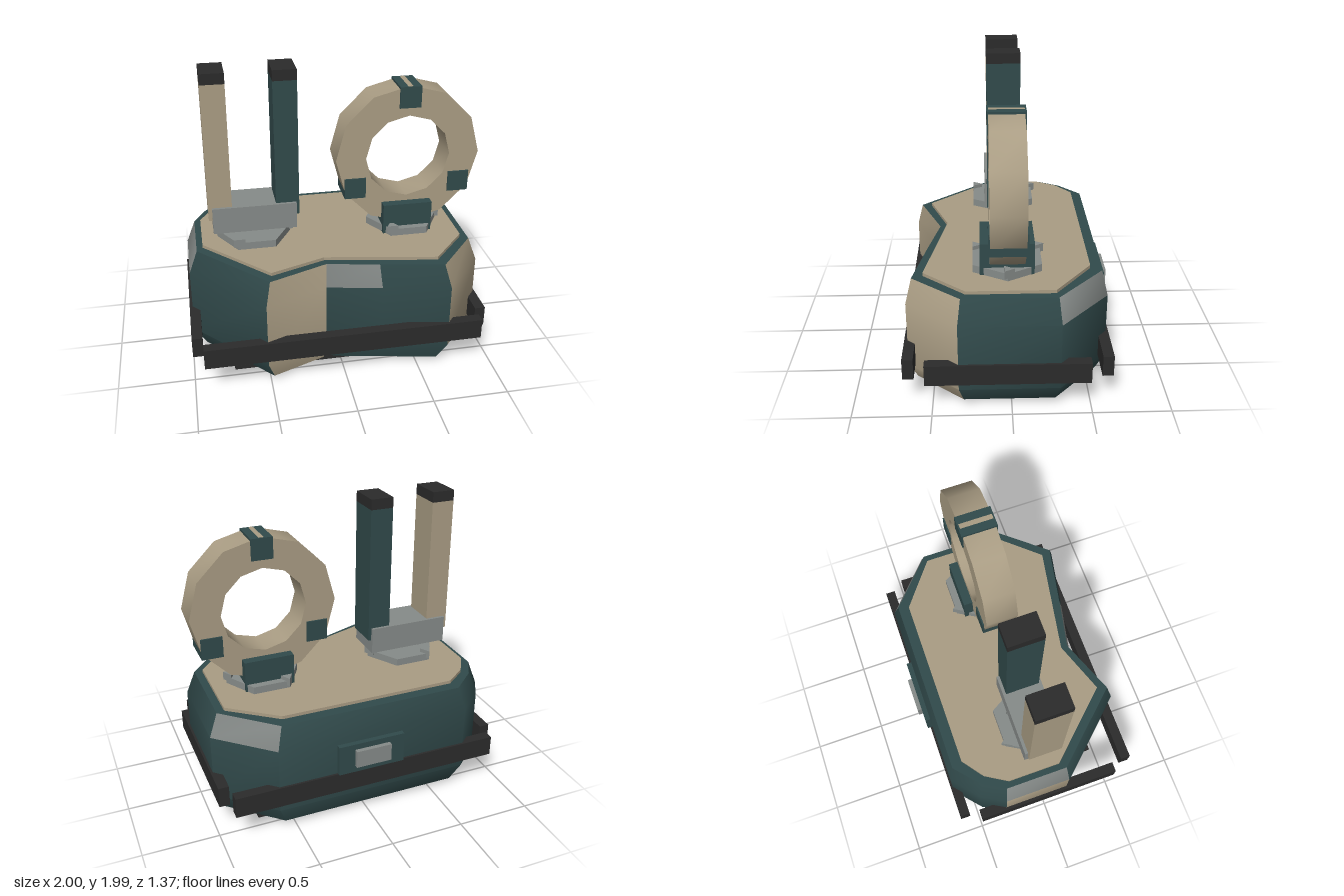
import * as THREE from 'three';
import { toCreasedNormals } from 'three/addons/utils/BufferGeometryUtils.js';

const mat = (name, color) => {
  const m = new THREE.MeshStandardMaterial({ color });
  m.name = name;
  return m;
};

export function createModel() {
  const teal = mat('teal', 0x314a4b);
  const beige = mat('beige', 0xaa9d84);
  const grey = mat('grey', 0x868b89);
  const dark = mat('charcoal', 0x2b2b2b);
  const model = new THREE.Group();
  model.name = 'device';

  const add = (parent, name, geo, material, x = 0, y = 0, z = 0) => {
    const m = new THREE.Mesh(geo, material);
    m.name = name;
    m.position.set(x, y, z);
    parent.add(m);
    return m;
  };
  // Box given by its minimum and maximum on each axis
  const box = (parent, name, material, x0, x1, y0, y1, z0, z1) =>
    add(parent, name, new THREE.BoxGeometry(x1 - x0, y1 - y0, z1 - z0), material,
      (x0 + x1) / 2, (y0 + y1) / 2, (z0 + z1) / 2);
  const polygon = (sides, r) => Array.from({ length: sides }, (_, i) => {
    const a = (i / sides) * Math.PI * 2;
    return new THREE.Vector2(r * Math.cos(a), r * Math.sin(a));
  });
  // Polygonal ring facing z, centred in depth
  const ringGeo = (sides, outer, inner, depth) => {
    const s = new THREE.Shape(polygon(sides, outer));
    s.holes.push(new THREE.Path(polygon(sides, inner).reverse()));
    const g = new THREE.ExtrudeGeometry(s, { depth, bevelEnabled: false });
    return g.translate(0, 0, -depth / 2);
  };

  // Body: plan outline as [x, z, side colour, upper band colour]
  const outline = [
    [-0.98, 0.16, teal, teal], [-0.52, 0.66, beige, beige],
    [-0.11, 0.5, teal, grey], [0.25, 0.575, teal, teal],
    [0.69, 0.66, beige, beige], [0.97, 0.33, teal, teal],
    [0.97, -0.3, teal, grey], [0.62, -0.62, teal, teal],
    [-0.71, -0.62, teal, teal], [-0.89, -0.46, teal, teal],
    [-0.98, -0.3, beige, grey],
  ];
  const levels = [[0.04, 0.92], [0.17, 1], [0.62, 1], [0.78, 0.94]];
  const n = outline.length;
  const materials = [teal, beige, grey];
  const faces = [[], [], []];
  const positions = [];
  for (const [y, s] of levels) for (const [x, z] of outline) positions.push(x * s, y, z * s);
  for (let l = 0; l < levels.length - 1; l++) {
    for (let i = 0; i < n; i++) {
      const a = l * n + i, b = l * n + (i + 1) % n;
      const list = faces[materials.indexOf(outline[i][l === 2 ? 3 : 2])];
      list.push(a, b, b + n, a, b + n, a + n);
    }
  }
  const plan = outline.map(([x, z]) => new THREE.Vector2(x, -z));
  for (const [a, b, c] of THREE.ShapeUtils.triangulateShape(plan, [])) {
    const t = (levels.length - 1) * n;
    faces[0].push(a + t, b + t, c + t, c, b, a);
  }
  const bodyGeo = new THREE.BufferGeometry();
  bodyGeo.setAttribute('position', new THREE.Float32BufferAttribute(positions, 3));
  bodyGeo.setIndex(faces.flat());
  let start = 0;
  faces.forEach((f, i) => {
    bodyGeo.addGroup(start, f.length, i);
    start += f.length;
  });
  add(model, 'body', toCreasedNormals(bodyGeo, 0.85), materials);

  // Lid
  const lid = [[-0.88, 0.11], [-0.47, 0.55], [-0.11, 0.42], [0.62, 0.55], [0.86, 0.28],
    [0.86, -0.27], [0.55, -0.51], [-0.645, -0.51], [-0.79, -0.4], [-0.88, -0.25]];
  const lidGeo = new THREE.ExtrudeGeometry(
    new THREE.Shape(lid.map(([x, z]) => new THREE.Vector2(x, -z))),
    { depth: 0.03, bevelEnabled: false }).rotateX(-Math.PI / 2);
  add(model, 'lid', lidGeo, beige, 0, 0.772, 0);

  // Bumper rails
  box(model, 'frontRail', dark, -0.93, 0.915, 0.215, 0.355, 0.61, 0.68);
  box(model, 'backRail', dark, -0.93, 0.915, 0.215, 0.355, -0.635, -0.565);
  box(model, 'rightRail', dark, -1, -0.93, 0.215, 0.355, -0.49, 0.54);
  box(model, 'leftRail', dark, 0.915, 0.985, 0.215, 0.355, -0.49, 0.54);

  // Back panel
  box(model, 'backPanel', teal, -0.235, 0.225, 0.36, 0.57, -0.655, -0.58);
  box(model, 'backButton', grey, -0.13, 0.115, 0.41, 0.53, -0.685, -0.65);

  // Base plate and hexagonal feet
  box(model, 'basePlate', dark, -0.73, 0.72, 0.02, 0.05, -0.45, 0.47);
  const footGeo = ringGeo(6, 0.18, 0.11, 0.03).rotateX(Math.PI / 2);
  for (const [x, z] of [[-0.49, 0.2], [-0.01, -0.29], [0.47, 0.2]])
    add(model, 'foot', footGeo, grey, x, 0.015, z);

  // Hexagonal mounts with three studs each
  const mountGeo = ringGeo(6, 0.25, 0.16, 0.05).rotateX(Math.PI / 2);
  const baseGeo = new THREE.CylinderGeometry(0.2, 0.2, 0.015, 6).rotateY(Math.PI / 6);
  const studGeo = toCreasedNormals(
    new THREE.CylinderGeometry(0.044, 0.044, 0.055, 3).rotateY(Math.PI), 0.5);
  for (const cx of [-0.525, 0.51]) {
    const mount = new THREE.Group();
    mount.name = 'mount';
    mount.position.set(cx, 0, 0.02);
    model.add(mount);
    add(mount, 'mountBase', baseGeo, grey, 0, 0.808, 0);
    add(mount, 'mountRing', mountGeo, grey, 0, 0.835, 0);
    for (let i = 0; i < 3; i++) {
      const a = (i * Math.PI * 2) / 3;
      add(mount, 'stud', studGeo, grey, 0.227 * Math.cos(a), 0.858, 0.227 * Math.sin(a));
    }
  }

  // Twin posts joined by a yoke
  box(model, 'yoke', grey, -0.8, -0.245, 0.9, 1.08, -0.115, 0.155);
  for (const [x0, material] of [[-0.825, beige], [-0.38, teal]]) {
    box(model, 'post', material, x0, x0 + 0.155, 0.99, 1.915, -0.095, 0.135);
    box(model, 'postCap', dark, x0, x0 + 0.155, 1.915, 1.985, -0.095, 0.135);
  }

  // Upright ring with bracket and clamps
  const hoop = toCreasedNormals(ringGeo(12, 0.487, 0.285, 0.216), 0.7);
  add(model, 'ring', hoop, beige, 0.51, 1.345, 0.022);
  box(model, 'ringBracket', teal, 0.34, 0.675, 0.81, 1.02, -0.148, 0.192);
  const clampGeo = new THREE.BoxGeometry(0.143, 0.143, 0.236);
  for (const deg of [90, 210, 330]) {
    const a = THREE.MathUtils.degToRad(deg);
    add(model, 'clamp', clampGeo, teal,
      0.51 + 0.411 * Math.cos(a), 1.345 + 0.411 * Math.sin(a), 0.022);
  }
  return model;
}
